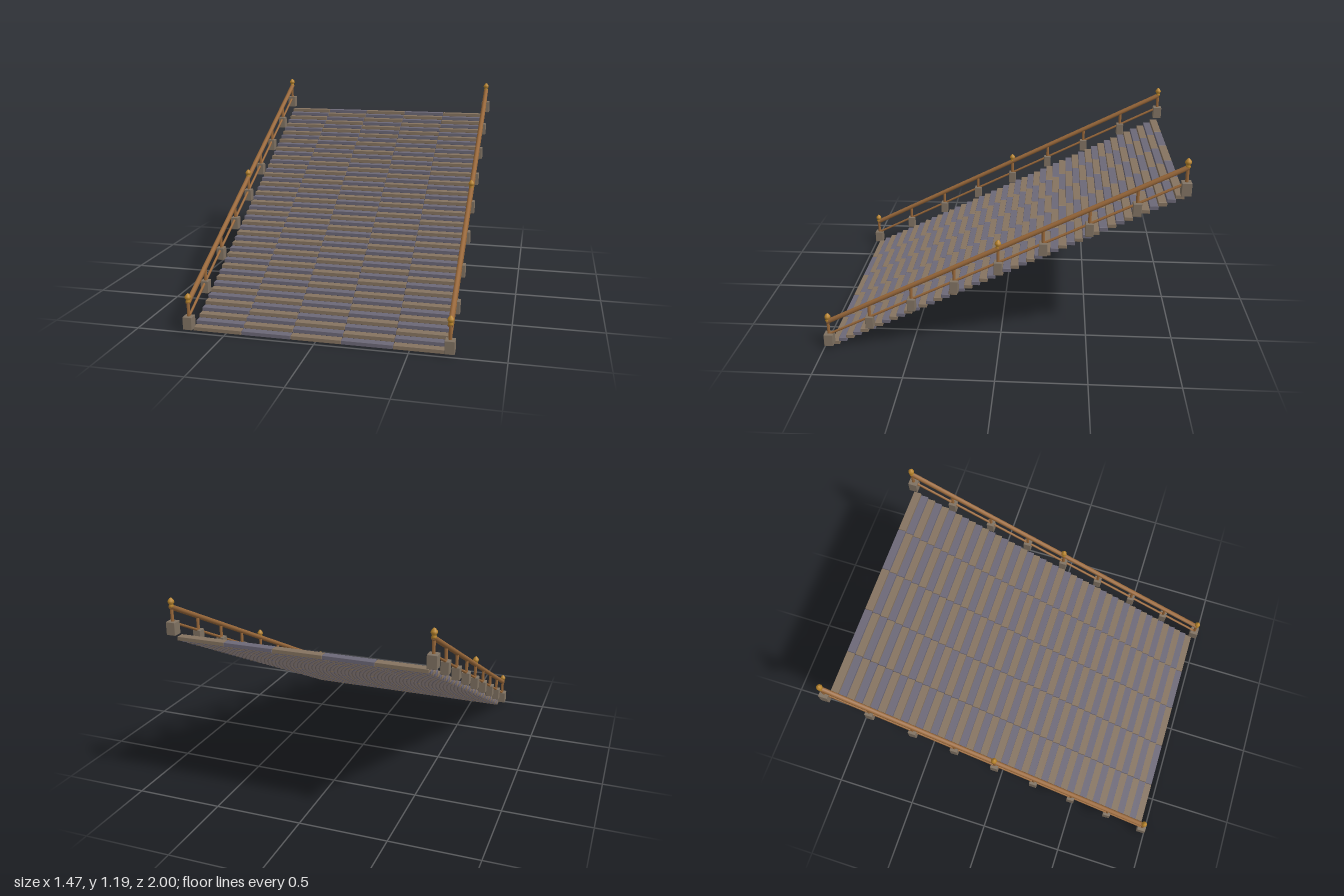
import * as THREE from 'three';
import { mergeVertices } from 'three/addons/utils/BufferGeometryUtils.js';
import { RoundedBoxGeometry } from 'three/addons/geometries/RoundedBoxGeometry.js';

const material = (name, color) => {
  const m = new THREE.MeshStandardMaterial({ color });
  m.name = name;
  return m;
};

// Cylinder whose smooth normals run on over its end caps
function softRod(radius, length, sides) {
  const g = new THREE.CylinderGeometry(radius, radius, length, sides);
  g.deleteAttribute('normal');
  g.deleteAttribute('uv');
  const merged = mergeVertices(g);
  merged.computeVertexNormals();
  return merged;
}

export function createModel() {
  const brownPlank = material('brown plank', 0x857360);
  const bluePlank = material('blue grey plank', 0x6c6877);
  const stone = material('base stone', 0x807262);
  const wood = material('rail wood', 0x99683a);
  const gold = material('finial gold', 0xb8842c);

  const model = new THREE.Group();
  model.name = 'wideStaircase';
  const add = (parent, name, geometry, mat, x, y, z) => {
    const mesh = new THREE.Mesh(geometry, mat);
    mesh.name = name;
    mesh.position.set(x, y, z);
    parent.add(mesh);
    return mesh;
  };

  // Steps: rows of five planks in alternating colours
  const rows = 45, columns = 5, plankWidth = 0.276, thickness = 0.022;
  const rise = (0.975 - thickness) / (rows - 1);
  const run = 1.894 / (rows - 1);
  const plank = new RoundedBoxGeometry(plankWidth - 0.002, thickness, 0.046, 1, 0.002);
  const steps = new THREE.Group();
  steps.name = 'steps';
  model.add(steps);
  for (let r = 0; r < rows; r++) {
    for (let c = 0; c < columns; c++) {
      add(steps, 'plank', plank, (r + c) % 2 ? bluePlank : brownPlank,
        (c - 2) * plankWidth, thickness / 2 + r * rise, 0.944 - r * run);
    }
  }

  // Railing on each side
  const postCount = 9, endZ = 0.973, slope = 0.5;
  const baseY = z => 0.05 + (endZ - z) * slope;
  const angle = Math.atan(slope);
  const railLength = 2 * endZ / Math.cos(angle);
  const topRail = softRod(0.0145, railLength + 0.01, 8);
  const lowRail = softRod(0.0075, railLength, 8);
  const endBlock = new RoundedBoxGeometry(0.053, 0.073, 0.053, 1, 0.003);
  const midBlock = new RoundedBoxGeometry(0.046, 0.073, 0.046, 1, 0.003);
  const post = new THREE.CylinderGeometry(0.009, 0.009, 0.12, 8);
  const finial = new THREE.LatheGeometry([
    [0, 0], [0.011, 0], [0.015, 0.006], [0.011, 0.013], [0.012, 0.018],
    [0.018, 0.027], [0.016, 0.036], [0.008, 0.047], [0, 0.053],
  ].map(([x, y]) => new THREE.Vector2(x, y)), 10);

  for (const side of [-1, 1]) {
    const railing = new THREE.Group();
    railing.name = side > 0 ? 'leftRailing' : 'rightRailing';
    railing.position.x = side * 0.709;
    model.add(railing);

    // Sloping rails
    const tilt = -(Math.PI / 2 - angle);
    add(railing, 'handrail', topRail, wood, 0, baseY(0) + 0.113, 0).rotation.x = tilt;
    add(railing, 'lowerRail', lowRail, wood, 0, baseY(0) + 0.03, 0).rotation.x = tilt;

    // Base blocks and posts, with finials at the ends and middle
    for (let i = 0; i < postCount; i++) {
      const z = endZ * (1 - 2 * i / (postCount - 1));
      const y = baseY(z);
      const isEnd = i === 0 || i === postCount - 1;
      add(railing, 'baseBlock', isEnd ? endBlock : midBlock, stone, 0, y, z);
      add(railing, 'post', post, wood, 0, y + 0.06, z);
      if (i % 4 === 0) add(railing, 'finial', finial, gold, 0, y + 0.113, z);
    }
  }
  return model;
}
